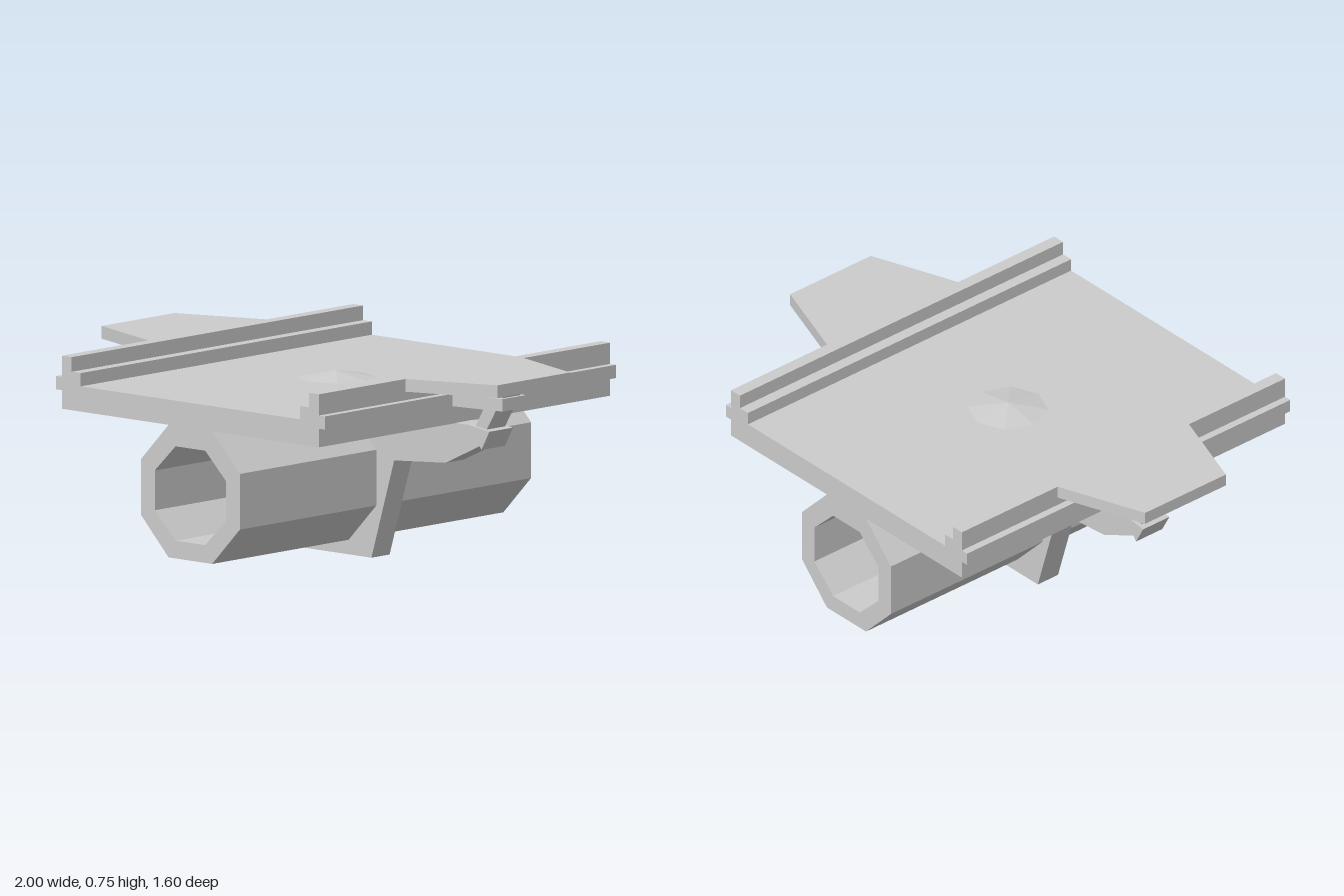
import * as THREE from 'three';

const material = new THREE.MeshStandardMaterial({ color: 0xcccccc, flatShading: true });

function shapeOf(points) {
  return new THREE.Shape(points.map(([x, y]) => new THREE.Vector2(x, y)));
}

// Closed outline from its right half, listed from bottom to top
function mirrored(half) {
  return [...half, ...half.map(([x, y]) => [-x, y]).reverse()];
}

// Cross-section in x/y, extruded evenly about z = 0
function extruded(name, points, depth, hole) {
  const shape = shapeOf(points);
  if (hole) shape.holes.push(shapeOf(hole));
  const geometry = new THREE.ExtrudeGeometry(shape, { depth, bevelEnabled: false });
  geometry.translate(0, 0, -depth / 2);
  const mesh = new THREE.Mesh(geometry, material);
  mesh.name = name;
  return mesh;
}

// Plan outline in x/z, given thickness between two heights
function plate(name, points, bottom, top) {
  const geometry = new THREE.ExtrudeGeometry(shapeOf(points), { depth: top - bottom, bevelEnabled: false });
  geometry.rotateX(-Math.PI / 2);
  geometry.translate(0, bottom, 0);
  const mesh = new THREE.Mesh(geometry, material);
  mesh.name = name;
  return mesh;
}

// Tapered plate that narrows outward
function taperedPlate(name, x0, x1, inner, outer, bottom, top) {
  return plate(name, [[x0, -inner], [x1, -outer], [x1, outer], [x0, inner]], bottom, top);
}

export function createModel() {
  const model = new THREE.Group();
  model.name = 'deckSegment';

  // Deck with stepped side rails and octagonal tube in one section
  const section = mirrored([
    [0.11, 0.055], [0.25, 0.2], [0.25, 0.41], [0.11, 0.555],
    [0.65, 0.555], [0.65, 0.625], [0.68, 0.625], [0.68, 0.675],
    [0.65, 0.675], [0.65, 0.755], [0.6, 0.755], [0.6, 0.7],
    [0.555, 0.7], [0.555, 0.65],
  ]);
  const bore = mirrored([[0.075, 0.122], [0.18, 0.225], [0.18, 0.375], [0.075, 0.478]]);
  model.add(extruded('deckAndTube', section, 1.6, bore));

  // Cross rib wrapped around the tube
  const rib = mirrored([
    [0.225, 0], [0.34, 0.38], [0.6, 0.4], [0.79, 0.49], [0.75, 0.556],
  ]);
  const ribHole = mirrored([[0.095, 0.09], [0.215, 0.21], [0.215, 0.395], [0.095, 0.515]]);
  model.add(extruded('crossRib', rib, 0.1, ribHole));

  // Shallow eight-sided cap on the deck
  const cap = new THREE.Mesh(new THREE.ConeGeometry(0.15, 0.026, 8, 1, true), material);
  cap.name = 'deckCap';
  cap.position.y = 0.663;
  model.add(cap);

  // Side wings with their lower plates and braces
  for (const side of ['left', 'right']) {
    const wing = new THREE.Group();
    wing.name = side + 'Wing';
    wing.add(
      taperedPlate('wingPlate', 0.65, 1, 0.325, 0.2, 0.707, 0.755),
      taperedPlate('lowerPlate', 0.67, 0.9, 0.1, 0.063, 0.628, 0.675),
      extruded('strut', [[0.74, 0.535], [0.8, 0.535], [0.905, 0.708], [0.84, 0.708]], 0.1),
      extruded('strutJoint', [[0.795, 0.472], [0.835, 0.545], [0.735, 0.558]], 0.13),
    );
    if (side === 'right') wing.rotation.y = Math.PI;
    model.add(wing);
  }
  return model;
}
